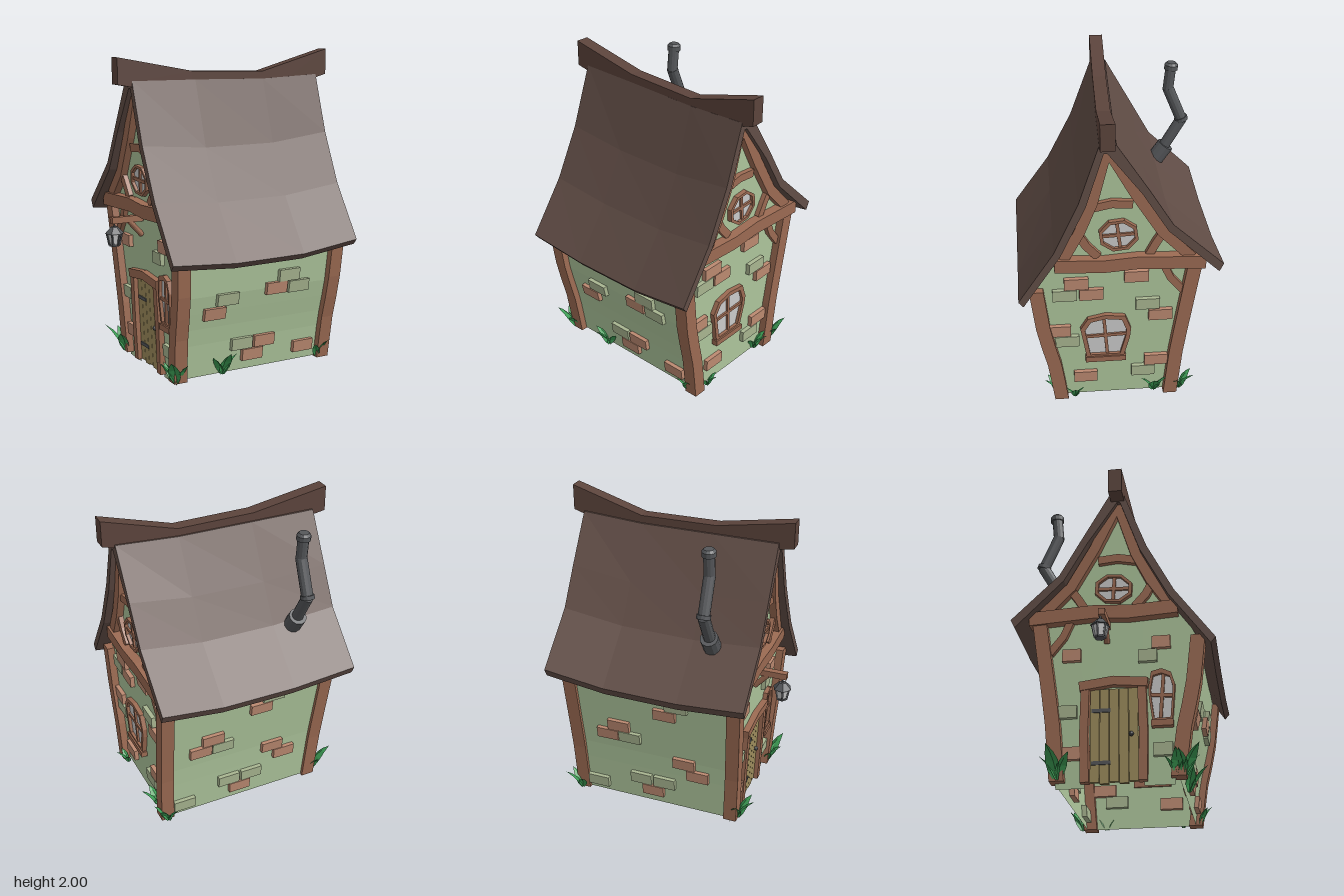
import * as THREE from 'three';

const mat = (color) => new THREE.MeshStandardMaterial({ color, flatShading: true, side: THREE.DoubleSide });

// Piecewise-linear lookup of [y, value] pairs
function lerpAt(table, y) {
  let i = 0;
  while (i < table.length - 2 && y > table[i + 1][0]) i++;
  const [y0, v0] = table[i], [y1, v1] = table[i + 1];
  return v0 + (v1 - v0) * (y - y0) / (y1 - y0);
}

// Distance of each leaning wall from the middle, at height y
const reach = {
  front: (y) => lerpAt([[0.04, 0.365], [0.3, 0.40], [0.55, 0.46], [0.88, 0.5]], y),
  back: (y) => lerpAt([[0.04, 0.345], [0.39, 0.375], [0.98, 0.46]], y),
  right: (y) => 0.55 + 0.02 * y,
  left: (y) => 0.465 + 0.045 * y,
};

// Bends geometry made as (along, up, outward) onto one of the four walls
function onWall(wall, geo) {
  const p = geo.attributes.position;
  for (let i = 0; i < p.count; i++) {
    const u = p.getX(i), y = p.getY(i), d = reach[wall](y) + p.getZ(i);
    if (wall === 'front') p.setXYZ(i, u, y, d);
    else if (wall === 'back') p.setXYZ(i, -u, y, -d);
    else if (wall === 'right') p.setXYZ(i, d, y, -u);
    else p.setXYZ(i, -d, y, u);
  }
  geo.computeVertexNormals();
  return geo;
}

const toShape = (pts) => new THREE.Shape(pts.map(([a, b]) => new THREE.Vector2(a, b)));

// Flat bar of constant width following a path
function strip(pts, w) {
  const a = [], b = [];
  pts.forEach(([x, y], i) => {
    const p = pts[Math.max(i - 1, 0)], q = pts[Math.min(i + 1, pts.length - 1)];
    const l = Math.hypot(q[0] - p[0], q[1] - p[1]) || 1;
    const nx = -(q[1] - p[1]) / l * w / 2, ny = (q[0] - p[0]) / l * w / 2;
    a.push([x + nx, y + ny]);
    b.unshift([x - nx, y - ny]);
  });
  return toShape([...a, ...b]);
}

export function createModel() {
  const root = new THREE.Group();
  const M = {
    wall: mat(0xaec69c), wood: mat(0x9c6b53), roof: mat(0x614d46), ridge: mat(0x5c443c), brick: mat(0xbc8a71),
    pale: mat(0xa9b691), glass: mat(0xcccccc), metal: mat(0x55575a), door: mat(0xa08f5e), leaf: mat(0x3c9c54),
  };
  const add = (name, geo, m, parent = root) => {
    const mesh = new THREE.Mesh(geo, m);
    mesh.name = name;
    parent.add(mesh);
    return mesh;
  };
  const slab = (name, wall, shape, d0, d1, m) => {
    const g = new THREE.ExtrudeGeometry(shape, { depth: d1 - d0, bevelEnabled: false });
    return add(name, onWall(wall, g.translate(0, 0, d0)), m);
  };
  const bar = (name, wall, pts, w, d = 0.035, m = M.wood) => slab(name, wall, strip(pts, w), -0.015, d, m);
  // Side-wall points given as [z, y]; the left gable leans a little further back
  const side = (wall, pts) => pts.map(([z, y]) => {
    if (wall === 'right') return [-z, y];
    const k = Math.max(0, (y - 1.1) / 0.75);
    return [z - 0.05 * k, y - 0.025 * Math.min(1, k * 3)];
  });

  // Front and back walls
  for (const [wall, top] of [['front', 0.88], ['back', 1.06]]) {
    const g = new THREE.PlaneGeometry(1, top - 0.04, 1, 8).translate(0, (top + 0.04) / 2, 0);
    const p = g.attributes.position, s = wall === 'front' ? 1 : -1;
    for (let i = 0; i < p.count; i++) {
      const y = p.getY(i);
      p.setX(i, s * (s * p.getX(i) > 0 ? reach.right(y) : -reach.left(y)));
    }
    add(wall + 'Wall', onWall(wall, g), M.wall);
  }

  // Gable walls and their timbers
  const upper = [[0.4, 0.3], [0.46, 0.55], [0.5, 0.86], [0.36, 1.14], [0.21, 1.46], [0.09, 1.8],
    [-0.12, 1.53], [-0.28, 1.27], [-0.46, 1.08], [-0.46, 0.98], [-0.375, 0.39]];
  const feet = {
    right: [[-0.345, 0.04], [0.365, 0.04]],
    left: [[-0.335, 0], [-0.17, 0], [-0.17, 0.58], [0.17, 0.58], [0.17, 0], [0.34, 0]],
  };
  const timbers = [
    ['tieBeam', [[0.385, 1.055], [0.1, 1.04], [-0.1, 1.055], [-0.505, 1.035]], 0.085, 0.06],
    ['frontRafter', [[0.08, 1.81], [0.165, 1.46], [0.24, 1.27], [0.335, 1.09]], 0.065, 0.045],
    ['backRafter', [[0.08, 1.81], [-0.085, 1.51], [-0.245, 1.25], [-0.42, 1.07]], 0.065, 0.045],
    ['collarBeam', [[0.17, 1.42], [0.05, 1.445], [-0.07, 1.435]], 0.05, 0.03],
    ['frontStrut', [[0.25, 1.26], [0.2, 1.17], [0.13, 1.09]], 0.05, 0.03],
    ['backStrut', [[-0.25, 1.24], [-0.21, 1.17], [-0.17, 1.09]], 0.05, 0.03],
    ['kneeBrace', [[-0.26, 1.01], [-0.3, 0.92], [-0.38, 0.82]], 0.045, 0.03],
  ];
  for (const wall of ['right', 'left']) {
    const outline = side(wall, [...feet[wall], ...upper]);
    add(wall + 'GableWall', onWall(wall, new THREE.ShapeGeometry(toShape(outline))), M.wall);
    for (const [name, pts, w, d] of timbers) bar(name, wall, side(wall, pts), w, d);
  }

  // Curved corner posts
  for (const sx of ['left', 'right']) for (const sz of ['front', 'back']) {
    const y0 = 0.035, y1 = sz === 'front' ? 0.87 : 1.03;
    const g = new THREE.BoxGeometry(0.085, y1 - y0, 0.085, 1, 6, 1).translate(0, (y0 + y1) / 2, 0);
    const p = g.attributes.position;
    for (let i = 0; i < p.count; i++) {
      const y = p.getY(i);
      p.setX(i, p.getX(i) + (sx === 'right' ? 1 : -1) * (reach[sx](y) + 0.005));
      p.setZ(i, p.getZ(i) + (sz === 'front' ? reach.front(y) : 0.022 - reach.back(y)));
    }
    add('cornerPost', g, M.wood);
  }

  // Sagging roof: a closed cross-section [z, y, closeness to ridge] swept along x
  const section = [[0.605, 0.84, 0], [0.39, 1.165, 0.35], [0.245, 1.478, 0.65], [0.125, 1.84, 1],
    [0.03, 1.84, 1], [-0.155, 1.555, 0.65], [-0.3, 1.32, 0.35], [-0.605, 1.04, 0],
    [-0.58, 0.988, 0], [-0.272, 1.28, 0.35], [-0.117, 1.53, 0.65], [0.08, 1.79, 1],
    [0.1, 1.79, 1], [0.202, 1.46, 0.65], [0.352, 1.142, 0.35], [0.576, 0.805, 0]];
  // x, drop at ridge, drop of the slopes, shift of ridge in z
  const stations = [[-0.615, -0.01, -0.025, -0.05], [-0.2, -0.015, -0.055, -0.033], [0.27, -0.02, -0.05, -0.015], [0.66, 0, 0, 0]];
  const n = section.length, pos = [], idx = [];
  for (const [x, ridgeDrop, slopeDrop, dz] of stations)
    for (const [z, y, k] of section) pos.push(x, y + (k === 1 ? ridgeDrop : slopeDrop), z + dz * k);
  for (let s = 0; s < stations.length - 1; s++) for (let i = 0; i < n; i++) {
    const a = s * n + i, b = s * n + (i + 1) % n;
    idx.push(a, a + n, b, b, a + n, b + n);
  }
  const last = (stations.length - 1) * n;
  for (let i = 0; i < n / 2 - 1; i++) {
    const q = [i, i + 1, n - 2 - i, n - 1 - i];
    idx.push(q[0], q[1], q[2], q[0], q[2], q[3]);
    idx.push(last + q[0], last + q[2], last + q[1], last + q[0], last + q[3], last + q[2]);
  }
  const roof = new THREE.BufferGeometry();
  roof.setAttribute('position', new THREE.Float32BufferAttribute(pos, 3));
  roof.setIndex(idx);
  roof.computeVertexNormals();
  add('roof', roof, M.roof);

  // Ridge beam, upturned at both ends and sunk into the roof between them
  const ridge = new THREE.BoxGeometry(1.43, 0.16, 0.083, 3, 1, 1);
  const rp = ridge.attributes.position, rx = [-0.705, -0.22, 0.27, 0.735], ry = [1.885, 1.797, 1.787, 1.92];
  for (let i = 0; i < rp.count; i++) {
    const k = Math.round((rp.getX(i) / 1.43 + 0.5) * 3);
    rp.setXYZ(i, rx[k], ry[k] + rp.getY(i), rp.getZ(i) + 0.058 + 0.037 * rx[k]);
  }
  add('ridgeBeam', ridge, M.ridge);

  // Stove pipe
  const tube = (name, a, b, r0, r1 = r0, m = M.metal) => {
    const A = new THREE.Vector3(...a), B = new THREE.Vector3(...b), dir = B.clone().sub(A);
    const mesh = add(name, new THREE.CylinderGeometry(r1, r0, dir.length(), 12), m);
    mesh.position.copy(A).add(B).multiplyScalar(0.5);
    mesh.quaternion.setFromUnitVectors(new THREE.Vector3(0, 1, 0), dir.normalize());
  };
  const px = -0.325;
  tube('pipeCollar', [px, 1.24, -0.32], [px, 1.34, -0.39], 0.055);
  tube('pipeLower', [px, 1.3, -0.36], [px, 1.525, -0.49], 0.036);
  tube('pipeElbow', [px, 1.512, -0.49], [px, 1.536, -0.482], 0.043);
  tube('pipeMiddle', [px, 1.525, -0.485], [px, 1.74, -0.395], 0.036);
  tube('pipeUpper', [px, 1.73, -0.395], [px, 1.88, -0.41], 0.034);
  tube('pipeCap', [px, 1.865, -0.41], [px, 1.895, -0.412], 0.043);
  tube('pipeCapTop', [px, 1.895, -0.412], [px, 1.91, -0.413], 0.043, 0.03);

  // Windows: glass, frame with a hole, cross bars, optional sill
  function makeWindow(name, wall, pts, [cz, cy], sill, scale = 1) {
    const at = (k) => side(wall, pts.map(([z, y]) => [cz + z * k * scale, cy + y * k]));
    const frame = toShape(at(1));
    frame.holes.push(toShape(at(0.82)));
    slab(name + 'Frame', wall, frame, -0.01, 0.03, M.wood);
    slab(name + 'Glass', wall, toShape(at(0.85)), -0.005, 0.01, M.glass);
    const ys = pts.map((p) => p[1]), zs = pts.map((p) => p[0] * scale);
    const h = Math.max(...ys) * 0.9, l = Math.min(...ys) * 0.9, w = Math.max(...zs) * 0.9;
    bar(name + 'Upright', wall, side(wall, [[cz + 0.012, cy + h], [cz, cy], [cz - 0.012, cy + l]]), 0.02, 0.022);
    bar(name + 'Crossbar', wall, side(wall, [[cz + w, cy - 0.005], [cz - w, cy + 0.005]]), 0.02, 0.022);
    if (sill) bar(name + 'Sill', wall, side(wall, [[cz + 0.125 * scale, cy + l - 0.018], [cz - 0.125 * scale, cy + l - 0.018]]), 0.037, 0.04);
  }
  const tall = [[0.155, 0.06], [0.11, 0.135], [0, 0.16], [-0.12, 0.145], [-0.155, 0.05], [-0.15, -0.01], [-0.11, -0.17], [0.115, -0.17]];
  const round = Array.from({ length: 8 }, (_, i) => {
    const a = (i + 0.35) * Math.PI / 4;
    return [0.12 * Math.cos(a), 0.108 * Math.sin(a)];
  });
  makeWindow('largeWindow', 'right', tall, [0.085, 0.505], true);
  makeWindow('sideWindow', 'left', tall, [0.28, 0.52], true, 0.5);
  for (const wall of ['right', 'left']) makeWindow('roundWindow', wall, round, [0.01, 1.23], false);

  // Plank door with frame, straps and knob
  for (let i = 0; i < 5; i++) {
    const z = (i - 2) * 0.056;
    bar('doorPlank', 'left', [[z, 0.03 - 0.01 * (i % 2)], [z, 0.58]], 0.053, 0.008, M.door);
  }
  for (const z of [-0.165, 0.165]) bar('doorJamb', 'left', [[z, 0.025], [z * 1.04, 0.3], [z, 0.59]], 0.05, 0.035);
  bar('doorLintel', 'left', [[-0.2, 0.595], [0, 0.62], [0.2, 0.6]], 0.055, 0.04);
  for (const y of [0.14, 0.45]) bar('doorStrap', 'left', [[-0.13, y], [-0.02, y]], 0.022, 0.014, M.metal);
  add('doorKnob', new THREE.SphereGeometry(0.015, 8, 6), M.metal).position.set(-0.495, 0.3, 0.1);

  // Scattered bricks: [along x or z, height, pale?]
  const bricks = {
    right: [[0.26, 0.9], [0.33, 0.82, 1], [0.17, 0.82], [-0.1, 0.935], [-0.17, 0.73, 1], [-0.25, 0.645], [0.37, 0.555],
      [0.32, 0.475, 1], [-0.23, 0.295], [-0.15, 0.215, 1], [0.21, 0.19]],
    front: [[0.24, 0.64, 1], [0.155, 0.565], [0.315, 0.56, 1], [-0.185, 0.535, 1], [-0.265, 0.45], [-0.05, 0.22, 1],
      [0.11, 0.22], [0.03, 0.14], [0.405, 0.135]],
    back: [[-0.14, 0.86, 1], [-0.06, 0.78], [0.26, 0.62], [0.34, 0.54], [0.19, 0.54, 1], [-0.17, 0.41], [-0.26, 0.33],
      [0.13, 0.22, 1], [0.05, 0.14], [-0.03, 0.22, 1], [0.44, 0.12, 1]],
    left: [[0.28, 0.85], [0.2, 0.77, 1], [-0.25, 0.8], [-0.27, 0.45, 1], [-0.25, 0.2], [0.28, 0.2, 1]],
  };
  for (const wall in bricks) for (const [a, y, pale] of bricks[wall]) {
    const u = wall === 'right' || wall === 'back' ? -a : a;
    const g = new THREE.BoxGeometry(wall === 'left' ? 0.11 : 0.145, 0.075, 0.06).translate(u, y, -0.002);
    add('brick', onWall(wall, g), pale ? M.pale : M.brick);
  }

  // Hanging lantern on a bracket
  const lx = -0.69, lz = -0.05;
  add('lanternBracket', new THREE.BoxGeometry(0.22, 0.04, 0.04), M.wood).position.set(-0.605, 0.978, -0.04);
  tube('bracketBrace', [-0.51, 0.87, -0.04], [-0.6, 0.97, -0.04], 0.018, 0.018, M.wood);
  const lantern = new THREE.Group();
  lantern.name = 'lantern';
  lantern.position.set(lx, 0.815, lz);
  lantern.rotation.y = 0.35;
  root.add(lantern);
  const ring = (name, r1, r0, h, y, m) => add(name, new THREE.CylinderGeometry(r1, r0, h, 6), m, lantern).position.set(0, y, 0);
  ring('lanternBase', 0.036, 0.032, 0.014, 0.007, M.metal);
  ring('lanternGlass', 0.045, 0.03, 0.075, 0.045, M.glass);
  ring('lanternHood', 0.022, 0.06, 0.04, 0.1, M.metal);
  ring('lanternHook', 0.006, 0.006, 0.05, 0.14, M.metal);
  for (let i = 0; i < 6; i++) {
    const a = i * Math.PI / 3, rib = add('lanternRib', new THREE.BoxGeometry(0.011, 0.08, 0.011), M.metal, lantern);
    rib.position.set(Math.sin(a) * 0.039, 0.045, Math.cos(a) * 0.039);
    rib.rotation.set(Math.cos(a) * 0.2, 0, -Math.sin(a) * 0.2);
  }

  // Leaf clumps around the foot of the walls: [x, z, facing angle, size]
  const blade = new THREE.PlaneGeometry(1, 1, 2, 4).translate(0, 0.5, 0);
  const bp = blade.attributes.position, widths = [0.08, 0.2, 0.21, 0.13, 0];
  for (let i = 0; i < bp.count; i++) {
    const t = bp.getY(i), s = bp.getX(i) * 2, w = widths[Math.round(t * 4)];
    bp.setXYZ(i, s * w, t * (1.1 - 0.2 * t), 0.15 * t + 0.5 * t * t + Math.abs(s) * w * 0.5);
  }
  blade.computeVertexNormals();
  const clumps = [[-0.5, 0.4, -0.7, 0.18], [-0.18, 0.39, 0, 0.18], [0.52, 0.39, 0.5, 0.14], [0.58, 0.28, 1.57, 0.12],
    [0.56, -0.22, 1.57, 0.17], [0.56, -0.38, 2.4, 0.17], [-0.51, -0.32, -1.9, 0.2], [-0.5, 0.36, -1.57, 0.15]];
  for (const [x, z, facing, size] of clumps) {
    for (let i = -1; i <= 1; i++) {
      const leaf = add('leaf', blade, M.leaf);
      leaf.position.set(x, 0.04, z);
      leaf.rotation.y = facing + i * 1.15;
      leaf.scale.setScalar(size * (i ? 0.8 : 1));
    }
  }
  return root;
}
